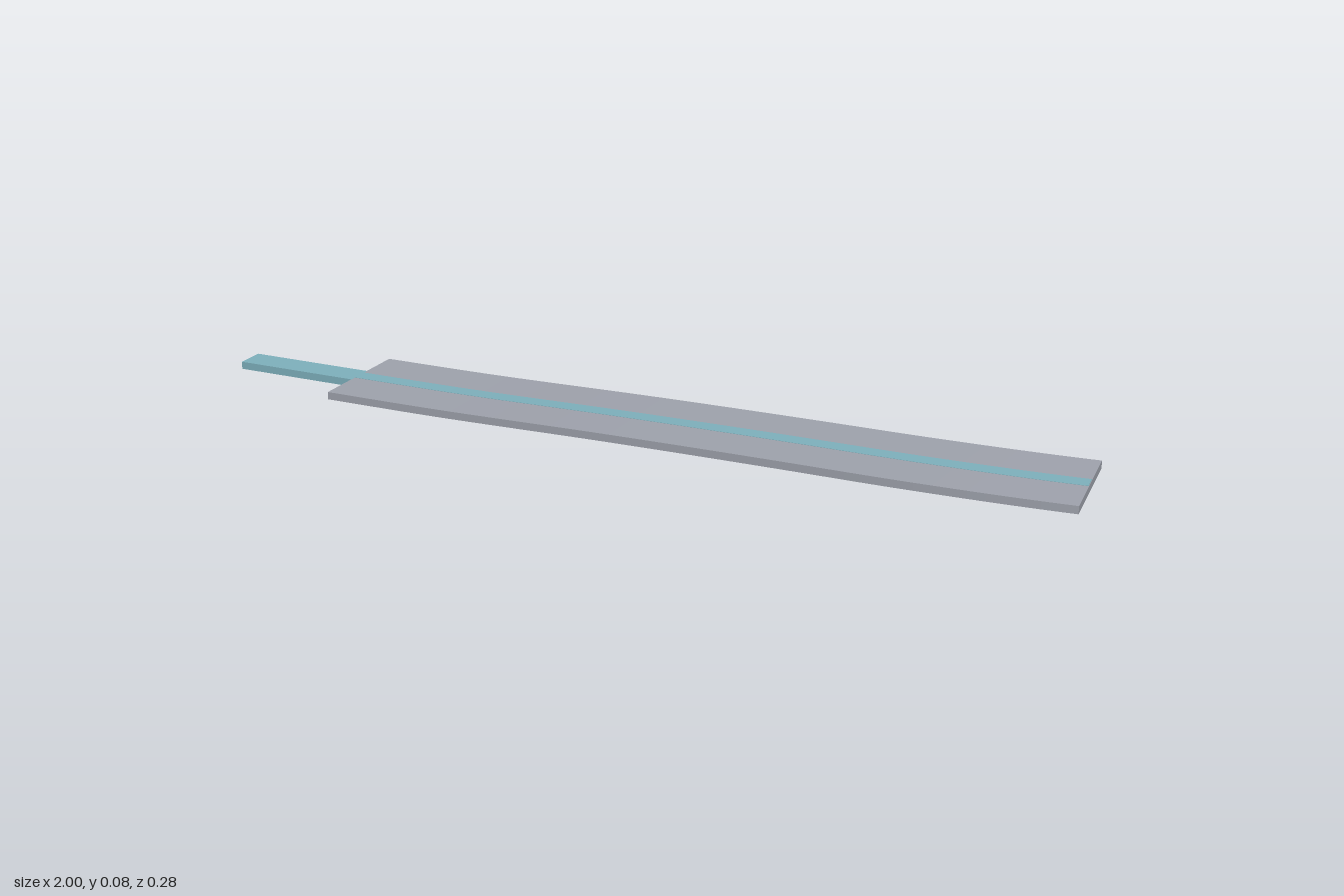
import * as THREE from 'three';

const START = -1, BEND = 0.495, RADIUS = 3.6, ANGLE = 0.136, MID_Z = 0.014;
const END = BEND + RADIUS * ANGLE;

// Height of the deck top along the gentle S-shaped rise
const profile = new THREE.SplineCurve([
  [-1, 0.017], [-0.7, 0.026], [-0.4, 0.036], [0, 0.055],
  [0.4, 0.07], [0.7, 0.078], [1, 0.082],
].map(([x, y]) => new THREE.Vector2(x, y)));
const samples = profile.getPoints(120);

function topHeight(x) {
  if (x <= samples[0].x) return samples[0].y;
  for (let i = 1; i < samples.length; i++) {
    const a = samples[i - 1], b = samples[i];
    if (x <= b.x) return a.y + (b.y - a.y) * (x - a.x) / (b.x - a.x);
  }
  return samples[samples.length - 1].y;
}

// Point on the path: straight, then an arc bending towards the back
function place(s, offset, drop) {
  const a = Math.max(0, (s - BEND) / RADIUS);
  const x = Math.min(s, BEND) + RADIUS * Math.sin(a) - offset * -Math.sin(a);
  const z = MID_Z - RADIUS * (1 - Math.cos(a)) + offset * Math.cos(a);
  return [x, topHeight(s) - drop, z];
}

// Sweeps a rectangular section along the path
function sweep(name, material, from, to, halfWidth, top, bottom, steps = 48) {
  const positions = [], index = [];
  const section = [[-halfWidth, top], [halfWidth, top], [halfWidth, bottom], [-halfWidth, bottom]];
  for (let i = 0; i <= steps; i++) {
    const s = from + (to - from) * i / steps;
    for (const [w, d] of section) positions.push(...place(s, w, d));
  }
  for (let i = 0; i < steps; i++) {
    for (let k = 0; k < 4; k++) {
      const a = i * 4 + k, b = i * 4 + (k + 1) % 4;
      index.push(a, b, a + 4, b, b + 4, a + 4);
    }
  }
  const e = steps * 4;
  index.push(0, 3, 2, 0, 2, 1, e, e + 1, e + 2, e, e + 2, e + 3);
  const indexed = new THREE.BufferGeometry();
  indexed.setAttribute('position', new THREE.Float32BufferAttribute(positions, 3));
  indexed.setIndex(index);
  const geometry = indexed.toNonIndexed();
  geometry.computeVertexNormals();
  const mesh = new THREE.Mesh(geometry, material);
  mesh.name = name;
  return mesh;
}

export function createModel() {
  const deckGrey = new THREE.MeshStandardMaterial({ color: 0xa0a4ae });
  deckGrey.name = 'deckGrey';
  const stripBlue = new THREE.MeshStandardMaterial({ color: 0x7fb2be });
  stripBlue.name = 'stripBlue';

  const group = new THREE.Group();
  group.name = 'curvedDeck';
  // Wide deck
  group.add(sweep('deck', deckGrey, -0.7, END, 0.122, 0, 0.017));
  // Narrow strip leading out of the deck
  group.add(sweep('leadInStrip', stripBlue, START, -0.699, 0.031, 0, 0.017, 12));
  // Flush centre line continuing along the deck
  group.add(sweep('centreLine', stripBlue, -0.7, END - 0.001, 0.018, -0.0006, 0.002));
  return group;
}
